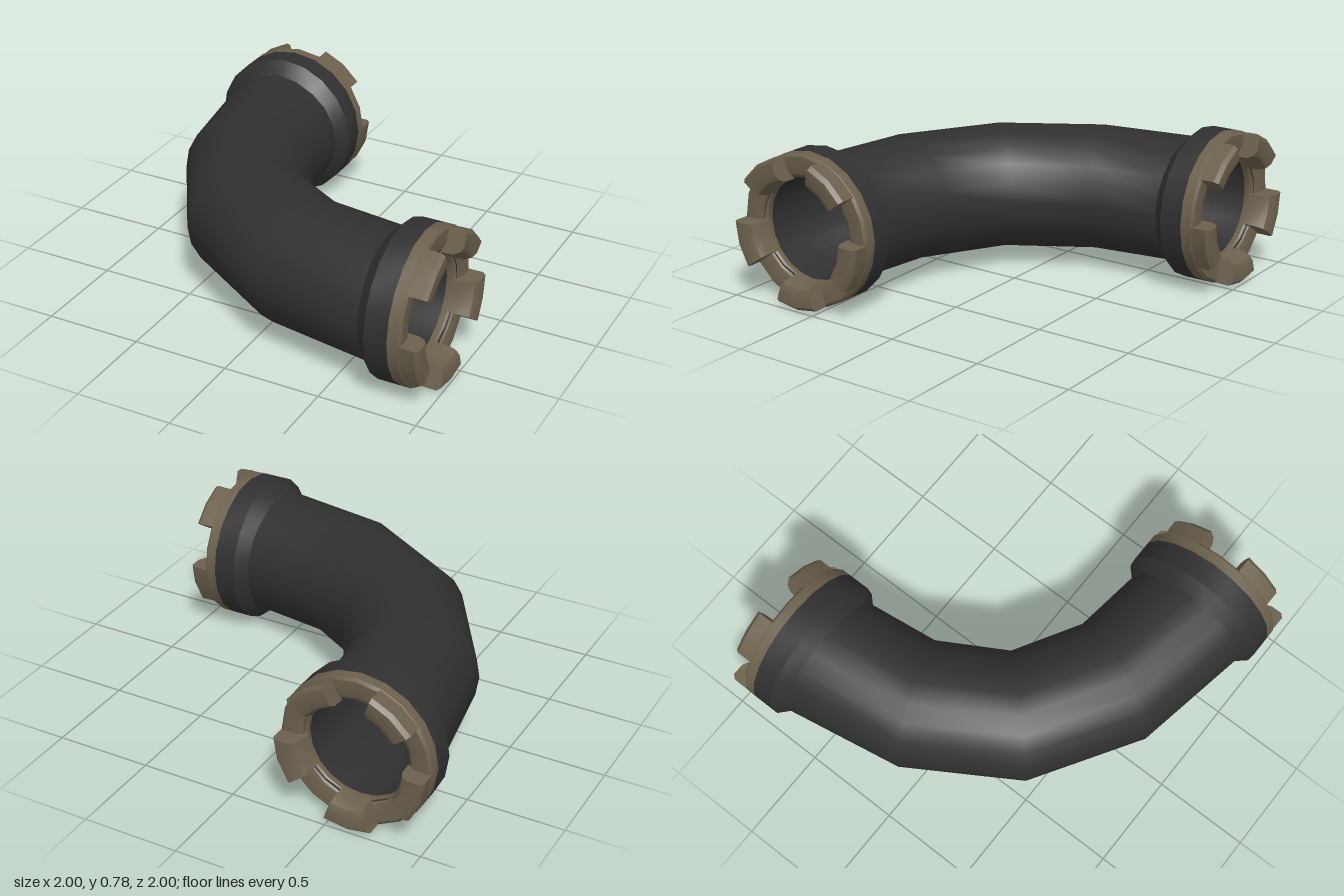
import * as THREE from 'three';
import { toCreasedNormals } from 'three/addons/utils/BufferGeometryUtils.js';

const SIDES = 20;
const CY = 0.397;
const CENTER = 0.61;

// Tube swept through stations given as [outerX, outerZ, innerX, innerZ]
function sweep(stations, halfHeight, scale) {
  const pos = [], index = [];
  stations.forEach(([ox, oz, ix, iz], i) => {
    for (let j = 0; j < SIDES; j++) {
      const t = (j / SIDES) * Math.PI * 2;
      const c = Math.cos(t) * scale * 0.5;
      pos.push((ox + ix) / 2 + (ox - ix) * c, CY + Math.sin(t) * halfHeight * scale, (oz + iz) / 2 + (oz - iz) * c);
      if (i === 0) continue;
      const k = (j + 1) % SIDES;
      const a = (i - 1) * SIDES + j, b = (i - 1) * SIDES + k;
      const d = i * SIDES + j, e = i * SIDES + k;
      index.push(a, d, b, b, d, e);
    }
  });
  const g = new THREE.BufferGeometry();
  g.setAttribute('position', new THREE.Float32BufferAttribute(pos, 3));
  g.setIndex(index);
  g.computeVertexNormals();
  return g;
}

const points = (list) => list.map(([r, y]) => new THREE.Vector2(r, y));

function lathe(profile, segments = SIDES, start = 0, length = Math.PI * 2) {
  return toCreasedNormals(new THREE.LatheGeometry(points(profile), segments, start, length), 0.6);
}

export function createModel() {
  const model = new THREE.Group();
  model.name = 'elbowPipe';
  const rubber = new THREE.MeshStandardMaterial({ color: 0x303030, side: THREE.DoubleSide });
  rubber.name = 'dark grey';
  const brass = new THREE.MeshStandardMaterial({ color: 0x6b604c, side: THREE.DoubleSide });
  brass.name = 'dull brass';

  const add = (parent, name, geometry, material) => {
    const mesh = new THREE.Mesh(geometry, material);
    mesh.name = name;
    parent.add(mesh);
  };

  // Bent pipe, mirrored about the diagonal
  const half = [
    [-0.95, -0.67, -0.27, -0.67],
    [-0.84, -0.055, -0.223, -0.297],
  ];
  const mirror = ([ox, oz, ix, iz]) => [-oz, -ox, -iz, -ix];
  const bend = [...half, [-0.498, 0.498, -0.033, 0.033], ...half.map(mirror).reverse()];
  add(model, 'pipe', sweep(bend, 0.323, 1), rubber);

  // Hollow inside, running on into both couplings
  const mouth = [-0.95, -0.895, -0.27, -0.895];
  add(model, 'pipeLining', sweep([mouth, ...bend, mirror(mouth)], 0.33, 0.82), rubber);

  // Profiles as [radius, distance from the model centre along the axis]
  const collar = [[0.328, 0.665], [0.392, 0.73], [0.392, 0.846]];
  const ring = [
    [0.27, 0.845], [0.392, 0.845], [0.392, 0.898], [0.378, 0.91],
    [0.315, 0.91], [0.285, 0.9], [0.267, 0.875], [0.27, 0.845],
  ];
  const tooth = [
    [0.258, 0.88], [0.388, 0.88], [0.39, 0.98], [0.372, 1], [0.31, 1],
    [0.28, 0.985], [0.262, 0.95], [0.258, 0.88],
  ];
  const toothSide = new THREE.ShapeGeometry(new THREE.Shape(points(tooth.slice(0, -1))));
  const spread = Math.PI / 5;

  // A coupling at each end, with five teeth
  const coupling = (name, outward, x, z) => {
    const group = new THREE.Group();
    group.name = name;
    add(group, 'collar', lathe(collar), rubber);
    add(group, 'couplingRing', lathe(ring), brass);
    for (let k = 0; k < 5; k++) {
      const start = (2 * k + 0.5) * spread;
      add(group, 'couplingTooth', lathe(tooth, 2, start, spread), brass);
      for (const phi of [start, start + spread]) {
        add(group, 'toothSide', toothSide.clone().rotateY(phi - Math.PI / 2), brass);
      }
    }
    const up = new THREE.Vector3(0, 1, 0);
    const across = new THREE.Vector3().crossVectors(outward, up);
    group.quaternion.setFromRotationMatrix(new THREE.Matrix4().makeBasis(across, outward, up));
    group.position.set(x, CY, z);
    model.add(group);
  };
  coupling('backCoupling', new THREE.Vector3(0, 0, -1), -CENTER, 0);
  coupling('leftCoupling', new THREE.Vector3(1, 0, 0), 0, CENTER);

  return model;
}
